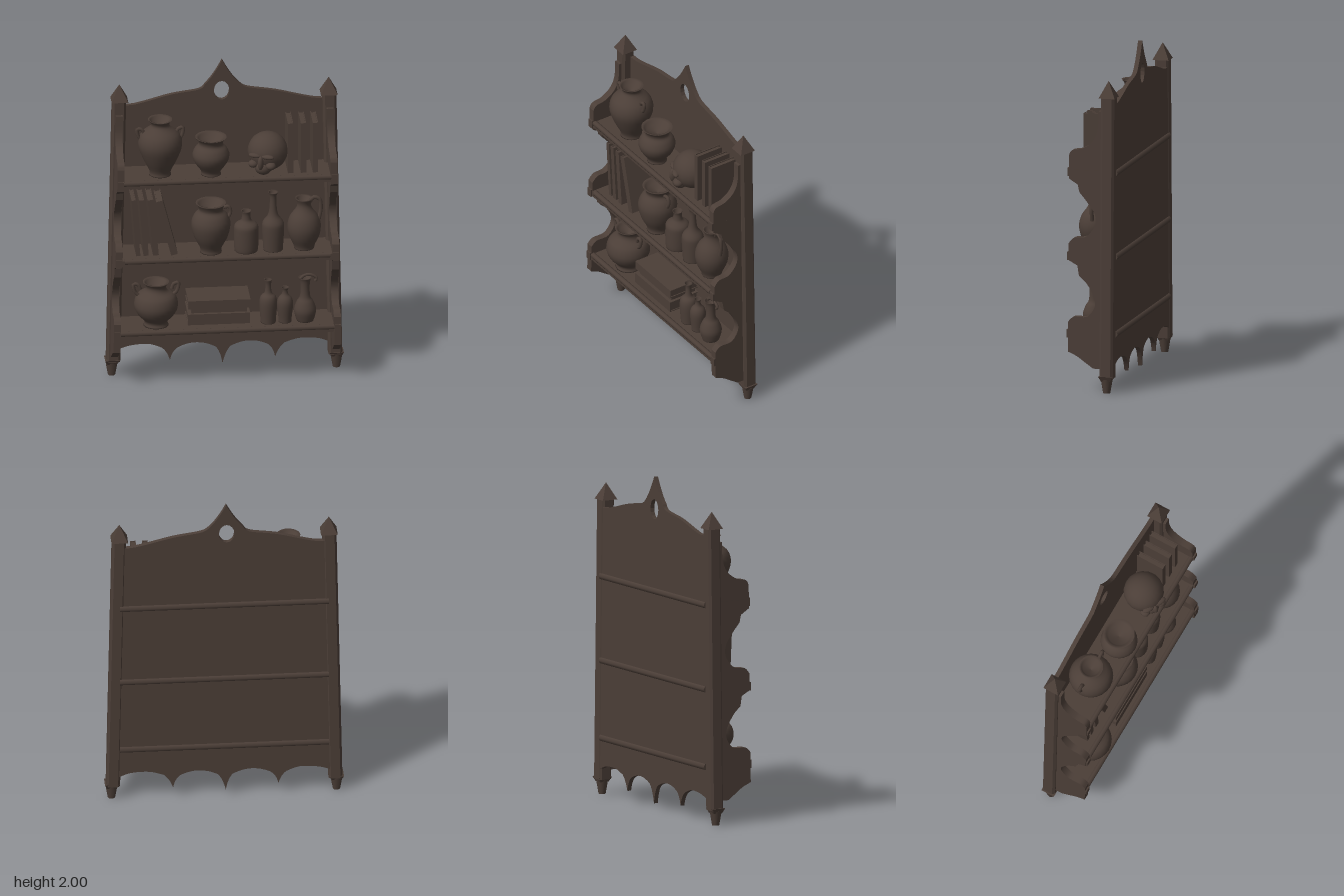
import * as THREE from 'three';

const wood = new THREE.MeshStandardMaterial({ color: 0x4b3e37 });
wood.name = 'darkWood';

// The posts and side boards lean inwards as they rise
const postX = (y) => 0.662 - 0.021 * y;
const SHELVES = [
  { y: 0.345, half: 0.66 },
  { y: 0.81, half: 0.635 },
  { y: 1.315, half: 0.655 },
];

export function createModel() {
  const root = new THREE.Group();
  root.name = 'wallShelf';

  const add = (parent, name, geo, x = 0, y = 0, z = 0) => {
    const m = new THREE.Mesh(geo, wood);
    m.name = name;
    m.position.set(x, y, z);
    parent.add(m);
    return m;
  };
  const box = (parent, name, w, h, d, x, y, z) =>
    add(parent, name, new THREE.BoxGeometry(w, h, d), x, y, z);
  const lean = (geo, side) => {
    const p = geo.attributes.position;
    for (let i = 0; i < p.count; i++) p.setX(i, p.getX(i) + side * postX(p.getY(i)));
    geo.computeVertexNormals();
    return geo;
  };
  const v = (a) => a.map(([x, y]) => new THREE.Vector2(x, y));

  // Back panel: ogee crest with a pierced eye, scalloped bottom
  const panel = new THREE.Shape();
  panel.moveTo(-0.65, 0.145);
  panel.splineThru(v([[-0.56, 0.175], [-0.45, 0.182], [-0.37, 0.155]]));
  panel.quadraticCurveTo(-0.335, 0.13, -0.32, 0.07);
  panel.quadraticCurveTo(-0.31, 0.13, -0.27, 0.155);
  panel.quadraticCurveTo(-0.16, 0.21, -0.05, 0.15);
  panel.quadraticCurveTo(-0.02, 0.12, -0.008, 0.04);
  panel.quadraticCurveTo(0.01, 0.12, 0.04, 0.15);
  panel.quadraticCurveTo(0.15, 0.21, 0.26, 0.155);
  panel.quadraticCurveTo(0.295, 0.13, 0.305, 0.07);
  panel.quadraticCurveTo(0.325, 0.13, 0.36, 0.16);
  panel.splineThru(v([[0.45, 0.185], [0.56, 0.18], [0.65, 0.145]]));
  panel.lineTo(0.61, 1.73);
  panel.splineThru(v([[0.54, 1.735], [0.45, 1.755], [0.3, 1.793], [0.14, 1.82], [0.09, 1.85]]));
  panel.quadraticCurveTo(0.04, 1.9, -0.01, 2);
  panel.quadraticCurveTo(-0.06, 1.9, -0.11, 1.85);
  panel.splineThru(v([[-0.15, 1.815], [-0.31, 1.79], [-0.46, 1.75], [-0.54, 1.732], [-0.61, 1.73]]));
  const eye = new THREE.Path();
  eye.absellipse(-0.013, 1.805, 0.046, 0.06, 0, Math.PI * 2, true);
  panel.holes.push(eye);
  add(root, 'backPanel', new THREE.ExtrudeGeometry(panel, { depth: 0.026, bevelEnabled: false, curveSegments: 8 }), 0, 0, -0.138);

  // Scalloped side board outline in z and y
  const board = new THREE.Shape();
  board.moveTo(-0.1, 0.145);
  board.lineTo(-0.02, 0.145);
  board.splineThru(v([[0.03, 0.18], [0.08, 0.215], [0.135, 0.24]]));
  board.lineTo(0.135, 0.42);
  board.splineThru(v([[0.1, 0.45], [0.02, 0.455], [-0.025, 0.51], [-0.025, 0.57], [0.02, 0.65], [0.07, 0.7]]));
  board.lineTo(0.08, 0.76);
  board.lineTo(0.135, 0.79);
  board.lineTo(0.135, 0.89);
  board.splineThru(v([[0.1, 0.925], [0.03, 0.935], [-0.025, 1.0], [-0.025, 1.07], [0.02, 1.14], [0.07, 1.2]]));
  board.lineTo(0.08, 1.245);
  board.lineTo(0.135, 1.28);
  board.lineTo(0.135, 1.42);
  board.splineThru(v([[0.115, 1.45], [0.05, 1.465], [-0.01, 1.51], [-0.04, 1.58], [-0.045, 1.69]]));
  board.lineTo(-0.1, 1.69);

  for (const s of [-1, 1]) {
    const side = new THREE.Group();
    side.name = s > 0 ? 'leftSide' : 'rightSide';
    root.add(side);
    const sideGeo = new THREE.ExtrudeGeometry(board, { depth: 0.042, bevelEnabled: false, curveSegments: 14 });
    sideGeo.translate(0, 0, -0.021).rotateY(-Math.PI / 2);
    add(side, 'sideBoard', lean(sideGeo, s));

    // Chamfered square post
    const c = 0.041, k = 0.028;
    const section = new THREE.Shape(v([[-c, -k], [-k, -c], [k, -c], [c, -k], [c, k], [k, c], [-k, c], [-c, k]]));
    const postGeo = new THREE.ExtrudeGeometry(section, { depth: 1.69, bevelEnabled: false });
    postGeo.rotateX(-Math.PI / 2).translate(0, 0.09, -0.102);
    add(side, 'post', lean(postGeo, s));

    // Pyramid finial, flared collar and tapered foot
    const finial = new THREE.ConeGeometry(0.07, 0.1, 4).toNonIndexed();
    finial.rotateY(Math.PI / 4).computeVertexNormals();
    add(side, 'finial', finial, s * 0.622, 1.823, -0.1);
    const collar = new THREE.CylinderGeometry(0.06, 0.04, 0.03, 4).toNonIndexed();
    collar.rotateY(Math.PI / 4).computeVertexNormals();
    add(side, 'footCollar', collar, s * 0.667, 0.088, -0.1);
    add(side, 'foot', new THREE.CylinderGeometry(0.037, 0.022, 0.085, 8), s * 0.668, 0.0425, -0.1);
  }

  // Shelves with front moulding, end tenons and a rail behind the panel
  for (const { y, half } of SHELVES) {
    box(root, 'shelf', half * 2, 0.04, 0.25, 0, y, 0.008);
    const bead = new THREE.CylinderGeometry(0.017, 0.017, half * 2 - 0.05, 8);
    add(root, 'shelfMoulding', bead.rotateZ(Math.PI / 2), 0, y + 0.01, 0.123);
    const rail = new THREE.CylinderGeometry(0.02, 0.02, 1.24, 6);
    add(root, 'backRail', rail.rotateZ(Math.PI / 2), 0, y, -0.134);
    for (const s of [-1, 1]) box(root, 'shelfTenon', 0.036, 0.05, 0.03, s * postX(y), y + 0.003, 0.129);
  }

  // Turned vessels: profile of [radius, height] points, hollow at the mouth
  const vessel = (name, x, y, z, pts) => {
    const g = new THREE.Group();
    g.name = name;
    g.position.set(x, y, z);
    root.add(g);
    const outer = new THREE.SplineCurve(v(pts)).getPoints(22);
    const [r, h] = pts[pts.length - 1];
    const profile = [new THREE.Vector2(0, 0), ...outer, ...v([[r * 0.8, h - 0.004], [r * 0.65, h - 0.03], [0, h - 0.05]])];
    add(g, 'body', new THREE.LatheGeometry(profile, 24));
    return g;
  };
  const handle = (g, pts, r = 0.011) => {
    const path = new THREE.CatmullRomCurve3(pts.map(([x, y, z = 0]) => new THREE.Vector3(x, y, z)));
    add(g, 'handle', new THREE.TubeGeometry(path, 14, r, 7));
  };
  const ears = (g, r, y) => {
    for (const s of [-1, 1]) handle(g, [[s * r * 0.8, y - 0.045], [s * r, y - 0.02], [s * r * 1.06, y + 0.03], [s * r * 0.85, y + 0.025], [s * r * 0.75, y - 0.005]]);
  };

  // Upper shelf vessels
  const TOP = 1.335, MID = 0.83, LOW = 0.365;
  const jarA = vessel('tallEaredJar', -0.39, TOP, 0.015, [[0.065, 0], [0.065, 0.03], [0.1, 0.1], [0.131, 0.19], [0.115, 0.26], [0.062, 0.305], [0.055, 0.33], [0.072, 0.355]]);
  ears(jarA, 0.128, 0.265);
  vessel('wideJar', -0.09, TOP, 0.035, [[0.06, 0], [0.06, 0.025], [0.098, 0.08], [0.11, 0.125], [0.095, 0.165], [0.072, 0.19], [0.075, 0.215], [0.093, 0.238]]);

  // Skull: cranium, brow, cheeks, nose and jaw turned to the model's right
  const skull = new THREE.Group();
  skull.name = 'skull';
  skull.position.set(0.25, 1.46, 0.01);
  skull.rotation.y = -0.45;
  root.add(skull);
  const lump = (name, r, sx, sy, sz, x, y, z) =>
    add(skull, name, new THREE.SphereGeometry(r, 18, 12), x, y, z).scale.set(sx, sy, sz);
  lump('cranium', 0.12, 1, 0.97, 1, 0, 0, 0);
  lump('upperJaw', 0.06, 0.85, 0.75, 0.8, 0, -0.078, 0.075);
  lump('noseBridge', 0.022, 0.8, 2, 1, 0, -0.035, 0.118);
  for (const s of [-1, 1]) {
    lump('cheekbone', 0.03, 1, 0.8, 1, s * 0.055, -0.055, 0.095);
    lump('brow', 0.025, 1.6, 0.6, 0.8, s * 0.04, 0.005, 0.108);
  }

  // Middle shelf vessels
  const jarC = vessel('handledJar', -0.09, MID, 0.03, [[0.065, 0], [0.065, 0.03], [0.1, 0.1], [0.117, 0.18], [0.1, 0.235], [0.072, 0.265], [0.075, 0.29], [0.09, 0.315]]);
  handle(jarC, [[0.1, 0.21], [0.117, 0.25], [0.105, 0.285], [0.075, 0.28]]);
  vessel('shortBottle', 0.12, MID, 0.03, [[0.068, 0], [0.072, 0.03], [0.073, 0.12], [0.068, 0.165], [0.035, 0.19], [0.027, 0.21], [0.025, 0.235], [0.03, 0.255]]);
  vessel('longNeckBottle', 0.28, MID, 0.03, [[0.058, 0], [0.06, 0.03], [0.066, 0.14], [0.06, 0.18], [0.032, 0.22], [0.022, 0.27], [0.02, 0.34], [0.031, 0.37]]);
  const jug = vessel('roundJug', 0.465, MID, 0.02, [[0.06, 0], [0.065, 0.025], [0.09, 0.08], [0.1, 0.14], [0.085, 0.2], [0.05, 0.25], [0.04, 0.285], [0.052, 0.32]]);
  handle(jug, [[0.03, 0.285], [0.055, 0.32], [0.09, 0.31], [0.1, 0.25], [0.088, 0.18]], 0.012);

  // Lower shelf vessels
  const jarG = vessel('broadEaredJar', -0.415, LOW, 0.02, [[0.075, 0], [0.07, 0.03], [0.11, 0.075], [0.131, 0.13], [0.115, 0.19], [0.07, 0.22], [0.06, 0.25], [0.078, 0.278]]);
  ears(jarG, 0.125, 0.235);
  vessel('slimBottle', 0.25, LOW, 0.04, [[0.045, 0], [0.047, 0.03], [0.053, 0.12], [0.045, 0.165], [0.022, 0.19], [0.017, 0.24], [0.024, 0.275]]);
  vessel('smallBottle', 0.35, LOW, 0.04, [[0.038, 0], [0.04, 0.03], [0.048, 0.11], [0.04, 0.15], [0.02, 0.175], [0.016, 0.2], [0.022, 0.22]]);
  const ewer = vessel('ewer', 0.47, LOW, 0.03, [[0.05, 0], [0.058, 0.025], [0.066, 0.07], [0.05, 0.12], [0.032, 0.15], [0.027, 0.2], [0.03, 0.25], [0.038, 0.275]]);
  handle(ewer, [[-0.03, 0.265], [0, 0.288], [0.04, 0.288], [0.07, 0.265], [0.06, 0.25]], 0.009);

  // Books: two covers, a page block and a spine
  const book = (name, t, h, d) => {
    const g = new THREE.Group();
    g.name = name;
    root.add(g);
    const cover = 0.005;
    for (const s of [-1, 1]) box(g, 'cover', cover, h, d, s * (t - cover) / 2, h / 2, 0);
    box(g, 'pages', t - cover * 2, h - 0.012, d - 0.012, 0, h / 2, 0);
    box(g, 'spine', t, h, cover, 0, h / 2, d / 2 - cover / 2);
    return g;
  };
  for (const x of [0.38, 0.457, 0.528]) book('uprightBook', 0.032, 0.32, 0.175).position.set(x, TOP, -0.013);
  for (const [x0, x1, t] of [[-0.525, -0.552, 0.025], [-0.478, -0.505, 0.03], [-0.42, -0.452, 0.034], [-0.31, -0.4, 0.04]]) {
    const b = book('leaningBook', t, 0.36, 0.175);
    b.position.set(x0, MID + 0.005, -0.013);
    b.rotation.z = Math.atan2(x0 - x1, 0.35);
  }
  for (const [y, t, x] of [[0.418, 0.068, 0.138], [0.512, 0.052, 0.14]]) {
    const b = book('flatBook', t, 0.37, 0.2);
    b.position.set(x, y, -0.005);
    b.rotation.z = Math.PI / 2;
  }
  // Thin pamphlet between the flat books
  box(root, 'pamphlet', 0.33, 0.036, 0.17, -0.045, 0.468, -0.01);
  return root;
}
